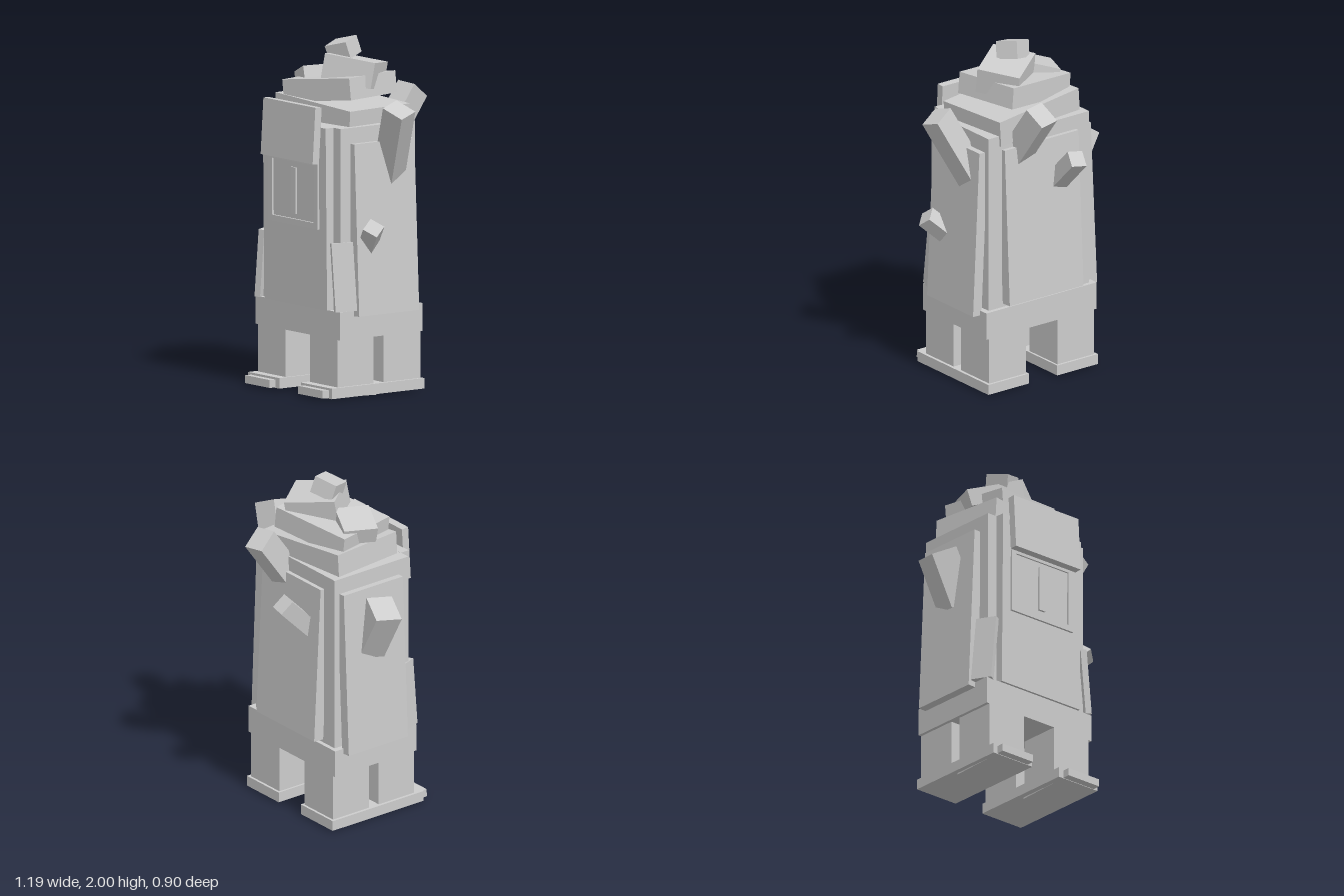
import * as THREE from 'three';

export function createModel() {
  const model = new THREE.Group();
  model.name = 'stoneGolem';
  const stone = new THREE.MeshStandardMaterial({ color: 0xcccccc });
  stone.name = 'stone grey';
  const cx = -0.022; // the body's own middle

  function add(name, geometry) {
    const mesh = new THREE.Mesh(geometry, stone);
    mesh.name = name;
    model.add(mesh);
    return mesh;
  }

  // Box given by its size, centre and turn
  function block(name, size, pos, rot = [0, 0, 0], order = 'XYZ') {
    const mesh = add(name, new THREE.BoxGeometry(...size));
    mesh.position.set(...pos);
    mesh.rotation.set(...rot, order);
    return mesh;
  }

  // Box running from a root inside the body to its free tip
  function shard(name, root, tip, width, depth, twist) {
    const a = new THREE.Vector3(...root), b = new THREE.Vector3(...tip);
    const mesh = add(name, new THREE.BoxGeometry(width, a.distanceTo(b), depth));
    mesh.position.copy(a).lerp(b, 0.5);
    const turn = new THREE.Quaternion().setFromAxisAngle(new THREE.Vector3(0, 1, 0), twist);
    mesh.quaternion.setFromUnitVectors(new THREE.Vector3(0, 1, 0), b.sub(a).normalize()).multiply(turn);
  }

  // Legs, feet, flanks
  for (const s of [-1, 1]) {
    const side = s < 0 ? 'right' : 'left';
    const lx = cx + s * 0.2425;
    block(side + 'FrontLeg', [0.26, 0.28, 0.255], [lx, 0.205, 0.2175]);
    block(side + 'BackLeg', [0.26, 0.28, 0.26], [lx, 0.205, -0.11]);
    block(side + 'Foot', [0.29, 0.06, 0.655], [cx + s * 0.245, 0.04, 0.0725]);
    block(side + 'Toe', [0.228, 0.045, 0.385], [cx + s * 0.2475, 0.03, 0.252], [-0.035, 0, 0]);
    block(side + 'FlankPlate', [0.06, 0.98, 0.425], [cx + s * 0.389, 0.96, 0.0325], [0, 0, s * 0.046]);
    block(side + 'CornerPlate', [0.036, 0.39, 0.125], [cx + s * 0.368, 0.695, 0.3],
      [0, -s * 0.42, s * 0.1], 'ZYX');
  }

  // Trunk
  block('pelvis', [0.785, 0.16, 0.585], [cx, 0.42, 0.0525]);
  block('torso', [0.715, 1.06, 0.53], [cx, 1.01, 0.05]);
  block('backPlate', [0.525, 0.93, 0.065], [cx, 0.99, -0.232], [0.05, 0, 0]);
  block('chestPlate', [0.585, 1.04, 0.06], [cx, 1.02, 0.335], [0.01, 0, 0]);

  // Face: raised frame around a sunken panel with an upright slit
  const frame = new THREE.Shape([[-0.255, 0.955], [0.205, 0.955], [0.205, 1.33], [-0.255, 1.33]]
    .map(p => new THREE.Vector2(...p)));
  frame.holes.push(new THREE.Path([[-0.22, 0.99], [-0.22, 1.315], [0.17, 1.315], [0.17, 0.99]]
    .map(p => new THREE.Vector2(...p))));
  add('faceFrame', new THREE.ExtrudeGeometry(frame, { depth: 0.024, bevelEnabled: false }))
    .position.z = 0.354;
  block('faceSlit', [0.046, 0.265, 0.016], [-0.025, 1.152, 0.37]);
  block('browSlab', [0.485, 0.322, 0.045], [cx, 1.494, 0.392], [-0.06, 0, 0]);

  // Stacked, twisted rocks forming the crown
  block('shoulderSlab', [0.615, 0.15, 0.46], [-0.02, 1.575, 0.033], [0, 0.105, -0.07]);
  block('crownSlab', [0.5, 0.125, 0.4], [-0.04, 1.715, 0.035], [0, 0.213, 0.11]);
  block('crownRock', [0.3, 0.15, 0.25], [0.05, 1.81, 0], [-0.14, 0.62, -0.06]);
  block('topRock', [0.14, 0.1, 0.135], [-0.02, 1.928, 0.025], [0.2, 0.43, 0.16]);
  block('sideCrownRock', [0.2, 0.1, 0.2], [-0.22, 1.752, 0.06], [0.04, -0.37, 0.33]);

  // Jutting shards
  shard('leftHorn', [0.3, 1.22, -0.05], [0.515, 1.645, 0.035], 0.14, 0.12, 0.25);
  shard('leftStub', [0.32, 0.83, 0.12], [0.475, 0.98, 0.185], 0.09, 0.09, 0.5);
  shard('rightShard', [-0.36, 1.06, 0.03], [-0.513, 1.345, 0.035], 0.17, 0.16, -0.25);
  shard('backHorn', [0.1, 1.4, -0.18], [0.088, 1.68, -0.385], 0.125, 0.14, 0.2);
  shard('backStub', [-0.15, 1.16, -0.2], [-0.148, 1.365, -0.405], 0.095, 0.095, -0.2);

  return model;
}
